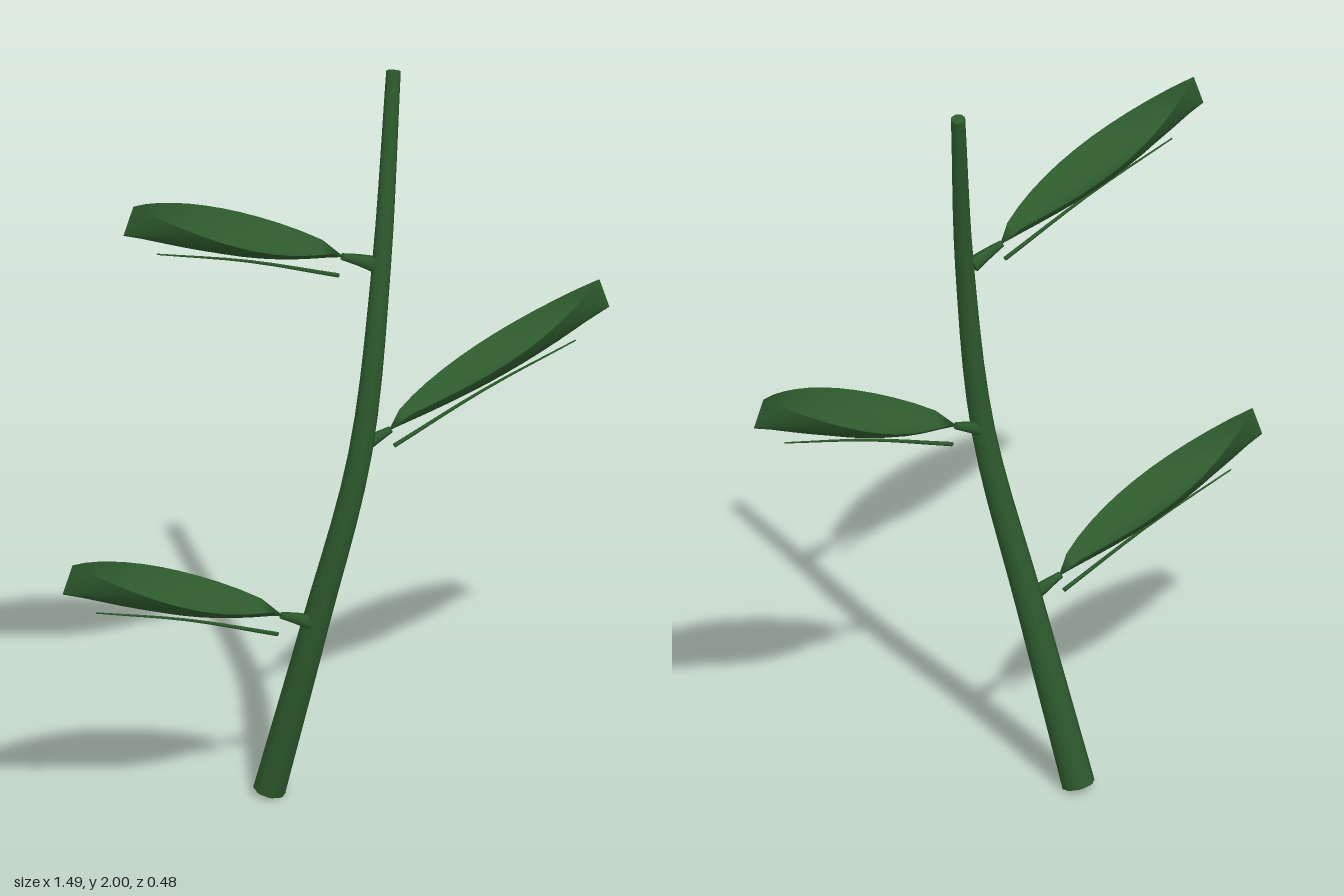
import * as THREE from 'three';
import { ParametricGeometry } from 'three/addons/geometries/ParametricGeometry.js';

const V = (x, y, z) => new THREE.Vector3(x, y, z);

// Round tapered tube along a smooth path, closed at both ends
function taperedTube(name, points, r0, r1, segments, sides, material) {
  const group = new THREE.Group();
  group.name = name;
  const curve = new THREE.CatmullRomCurve3(points);
  const geometry = new THREE.TubeGeometry(curve, segments, 1, sides);
  const pos = geometry.attributes.position;
  const p = V(0, 0, 0);
  for (let i = 0; i <= segments; i++) {
    const t = i / segments;
    const centre = curve.getPointAt(t);
    const r = THREE.MathUtils.lerp(r0, r1, t);
    for (let j = 0; j <= sides; j++) {
      const k = i * (sides + 1) + j;
      p.fromBufferAttribute(pos, k).sub(centre).multiplyScalar(r).add(centre);
      pos.setXYZ(k, p.x, p.y, p.z);
    }
  }
  const side = new THREE.Mesh(geometry, material);
  side.name = name + 'Side';
  group.add(side);
  for (const [t, r, dir] of [[0, r0, -1], [1, r1, 1]]) {
    const cap = new THREE.Mesh(new THREE.CircleGeometry(r, sides), material);
    cap.name = name + 'Cap';
    cap.position.copy(curve.getPointAt(t));
    cap.quaternion.setFromUnitVectors(V(0, 0, 1), curve.getTangentAt(t).multiplyScalar(dir));
    group.add(cap);
  }
  return group;
}

// Cupped blade: edges lift soon after the base and meet above the pointed tip
function bladeGeometry() {
  const axis = V(-0.608, 0.203, 0.213);
  const flat = V(0.213, 0, 0.608).normalize();
  const up = axis.clone().normalize().cross(flat).normalize();
  const lateral = flat.clone().addScaledVector(up, -0.2).normalize();
  const lift = up.clone().addScaledVector(flat, 0.1).normalize();
  const halfWidth = 0.104, cup = 0.083, sag = 0.014;
  return new ParametricGeometry((t, v, target) => {
    const s = v * 2 - 1;
    const belly = Math.max(Math.sin(Math.PI * t), 0);
    const w = halfWidth * Math.max(Math.pow(belly, 0.85), 0.01);
    target.copy(axis).multiplyScalar(t)
      .addScaledVector(lateral, s * w)
      .addScaledVector(lift, cup * Math.pow(t, 0.45) * s * s - sag * belly);
  }, 12, 8);
}

export function createModel() {
  const model = new THREE.Group();
  model.name = 'leafyStem';
  const green = new THREE.MeshStandardMaterial({ color: 0x2d5a2d, side: THREE.DoubleSide });
  green.name = 'leafGreen';

  // Main stem
  model.add(taperedTube('stem', [
    V(-0.153, 0.011, -0.12), V(-0.052, 0.5, -0.03), V(0.058, 1.0, 0.018),
    V(0.118, 1.5, -0.015), V(0.168, 1.997, -0.12),
  ], 0.043, 0.019, 20, 8, green));

  // Alternating leaves, each with a stalk and a loose rib beneath it
  const blade = bladeGeometry();
  const leaves = [
    ['lowerLeaf', V(-0.14, 0.552, 0.005), 0],
    ['middleLeaf', V(0.137, 1.042, -0.01), Math.PI],
    ['upperLeaf', V(0.018, 1.543, 0.002), 0],
  ];
  for (const [name, base, turn] of leaves) {
    const leaf = new THREE.Group();
    leaf.name = name;
    leaf.position.copy(base);
    leaf.rotation.y = turn;
    const bladeMesh = new THREE.Mesh(blade, green);
    bladeMesh.name = 'blade';
    leaf.add(bladeMesh);
    leaf.add(taperedTube('stalk',
      [V(0.08, -0.035, -0.02), V(0.04, -0.016, -0.01), V(-0.005, 0.002, 0.002)],
      0.021, 0.009, 4, 6, green));
    leaf.add(taperedTube('rib',
      [V(-0.015, -0.047, 0.007), V(-0.265, 0.052, 0.095), V(-0.515, 0.13, 0.182)],
      0.006, 0.002, 8, 5, green));
    model.add(leaf);
  }
  return model;
}
